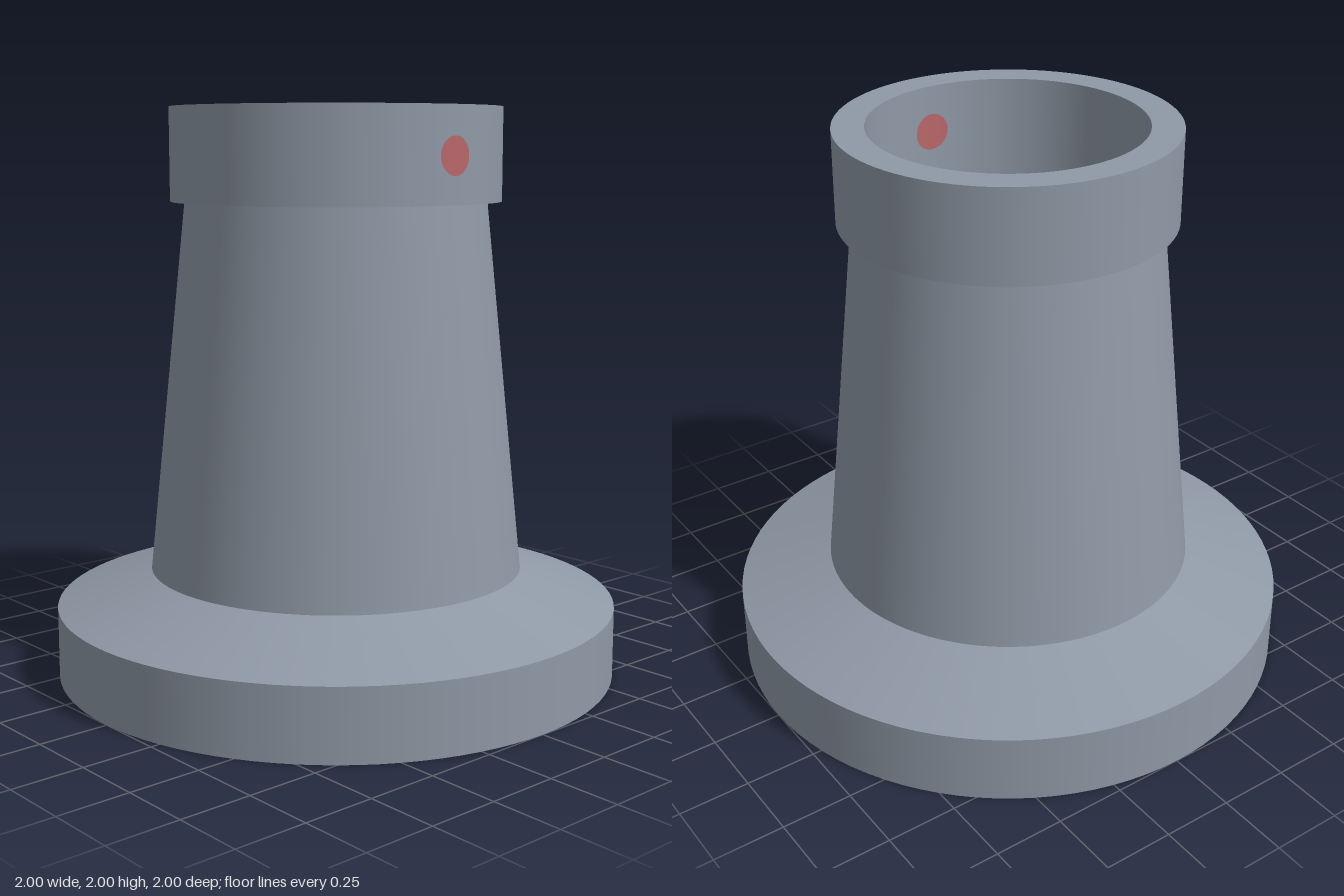
import * as THREE from 'three';
import { mergeGeometries } from 'three/addons/utils/BufferGeometryUtils.js';

const SEGMENTS = 96;

// Revolve each profile edge separately so the corners stay crisp.
function turned(name, points, material) {
  const bands = [];
  for (let i = 0; i < points.length - 1; i++) {
    const pair = [points[i], points[i + 1]].map(([r, y]) => new THREE.Vector2(r, y));
    bands.push(new THREE.LatheGeometry(pair, SEGMENTS));
  }
  const mesh = new THREE.Mesh(mergeGeometries(bands), material);
  mesh.name = name;
  return mesh;
}

// Round dot wrapped onto a cylinder of the given radius, on the +x side.
function wrappedDot(name, radius, material) {
  const geometry = new THREE.RingGeometry(0.001, 0.065, 40, 4);
  const p = geometry.attributes.position;
  for (let i = 0; i < p.count; i++) {
    const z = -p.getX(i);
    p.setXYZ(i, Math.sqrt(radius * radius - z * z), 1.835 + p.getY(i), z);
  }
  geometry.computeVertexNormals();
  const mesh = new THREE.Mesh(geometry, material);
  mesh.name = name;
  return mesh;
}

export function createModel() {
  const steel = new THREE.MeshStandardMaterial({ color: 0x8f99a6 });
  steel.name = 'steel grey';
  const red = new THREE.MeshStandardMaterial({ color: 0xb9676a, side: THREE.DoubleSide });
  red.name = 'marker red';

  const group = new THREE.Group();
  group.name = 'flangedNozzle';
  group.add(
    // Base flange with its sloped shoulder
    turned('baseFlange', [[0.75, 0], [1, 0], [1, 0.25], [0.665, 0.37]], steel),
    // Tapered outer wall
    turned('taperedBody', [[0.665, 0.37], [0.53, 1.675]], steel),
    // Collar with underside and top rim
    turned('collar', [[0.53, 1.675], [0.58, 1.675], [0.58, 2], [0.47, 2]], steel),
    // Upper bore down to its ledge
    turned('upperBore', [[0.47, 2], [0.47, 0.67], [0.32, 0.67]], steel),
    // Throat and flared opening in the base
    turned('throat', [[0.32, 0.67], [0.32, 0.5]], steel),
    turned('flaredInlet', [[0.32, 0.5], [0.75, 0]], steel),
    // Marker showing on both sides of the collar wall
    wrappedDot('outerMarker', 0.583, red),
    wrappedDot('innerMarker', 0.467, red)
  );
  return group;
}
